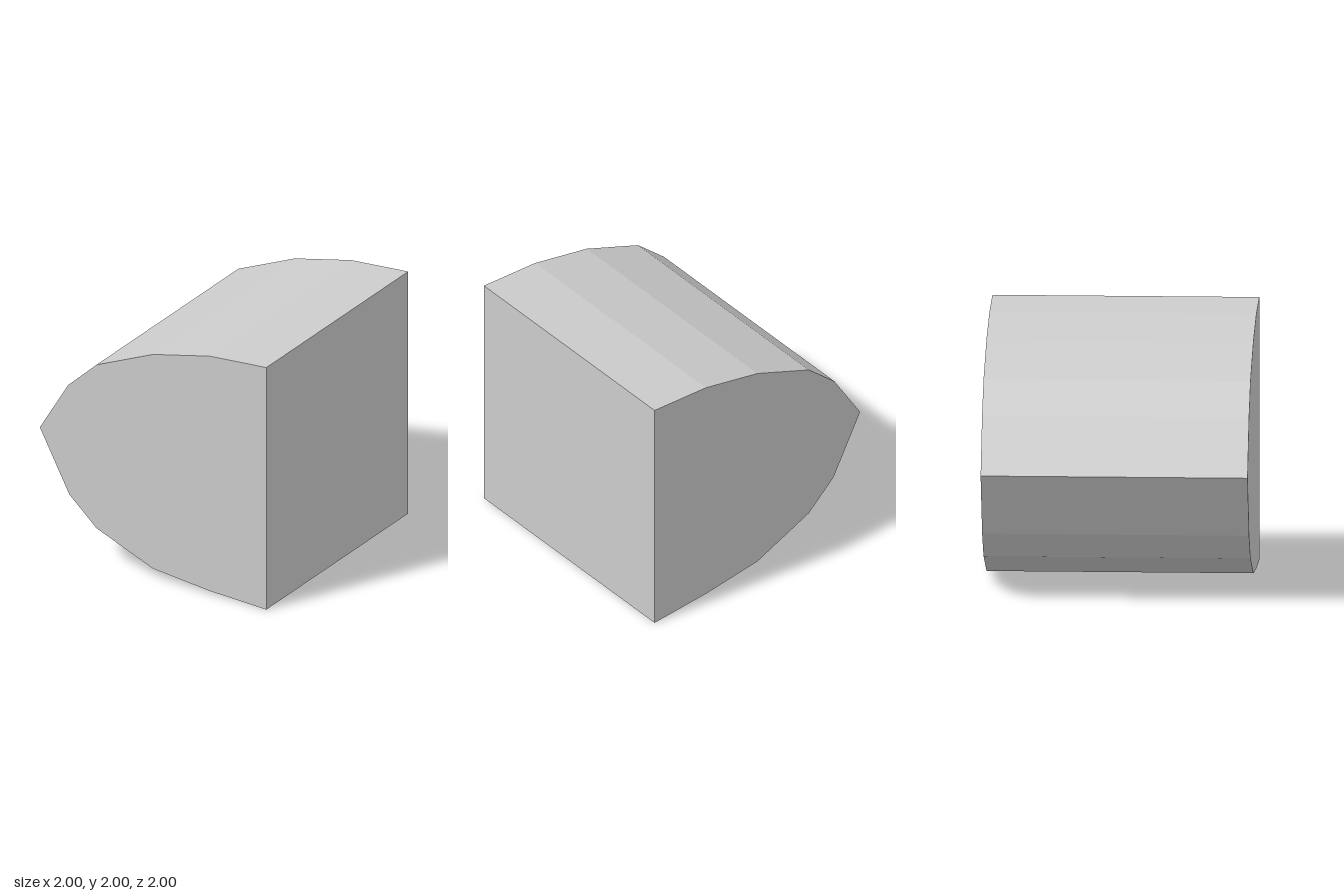
import * as THREE from 'three';

export function createModel() {
  const group = new THREE.Group();
  group.name = 'noseBlock';

  // Faceted nose profile, from the flat end's base round the tip to its top
  const profile = [
    [1, 0], [1, 2], [0.5, 1.97], [0, 1.86], [-0.5, 1.65], [-0.75, 1.42],
    [-1, 1.01], [-0.74, 0.52], [-0.5, 0.3], [0, 0.09], [0.5, 0.03],
  ].map(([x, y]) => new THREE.Vector2(x, y));

  // Straight extrusion along z, centred
  const geometry = new THREE.ExtrudeGeometry(new THREE.Shape(profile), {
    depth: 2, steps: 1, bevelEnabled: false,
  });
  geometry.translate(0, 0, -1);

  const body = new THREE.Mesh(
    geometry,
    new THREE.MeshStandardMaterial({ color: 0xcccccc, flatShading: true }),
  );
  body.name = 'body';
  group.add(body);
  return group;
}
